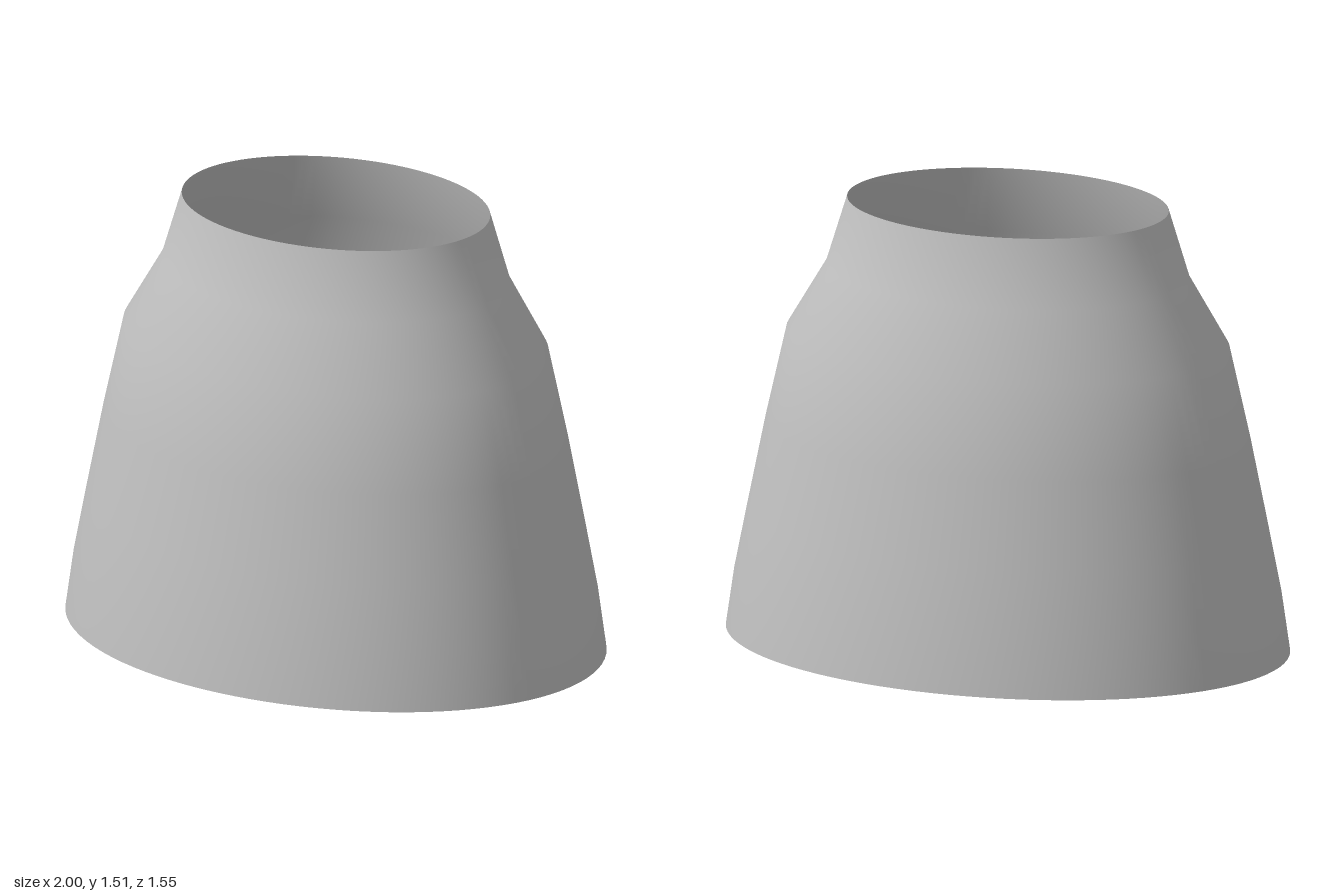
import * as THREE from 'three';

export function createModel() {
  const group = new THREE.Group();
  group.name = 'taperedSleeve';

  const grey = new THREE.MeshStandardMaterial({ color: 0xc0c0c0, side: THREE.DoubleSide });
  grey.name = 'light grey';

  // Open shell: flared skirt, sloping shoulder and short neck, as [radius, height]
  const profile = [
    [1, 0], [0.97, 0.2], [0.925, 0.42], [0.86, 0.73],
    [0.785, 1.05], [0.645, 1.28], [0.57, 1.515],
  ].map(([r, y]) => new THREE.Vector2(r, y));

  // Squash the round shell to an oval
  const geometry = new THREE.LatheGeometry(profile, 96);
  geometry.scale(1, 1, 0.776);

  const shell = new THREE.Mesh(geometry, grey);
  shell.name = 'shell';
  group.add(shell);
  return group;
}
